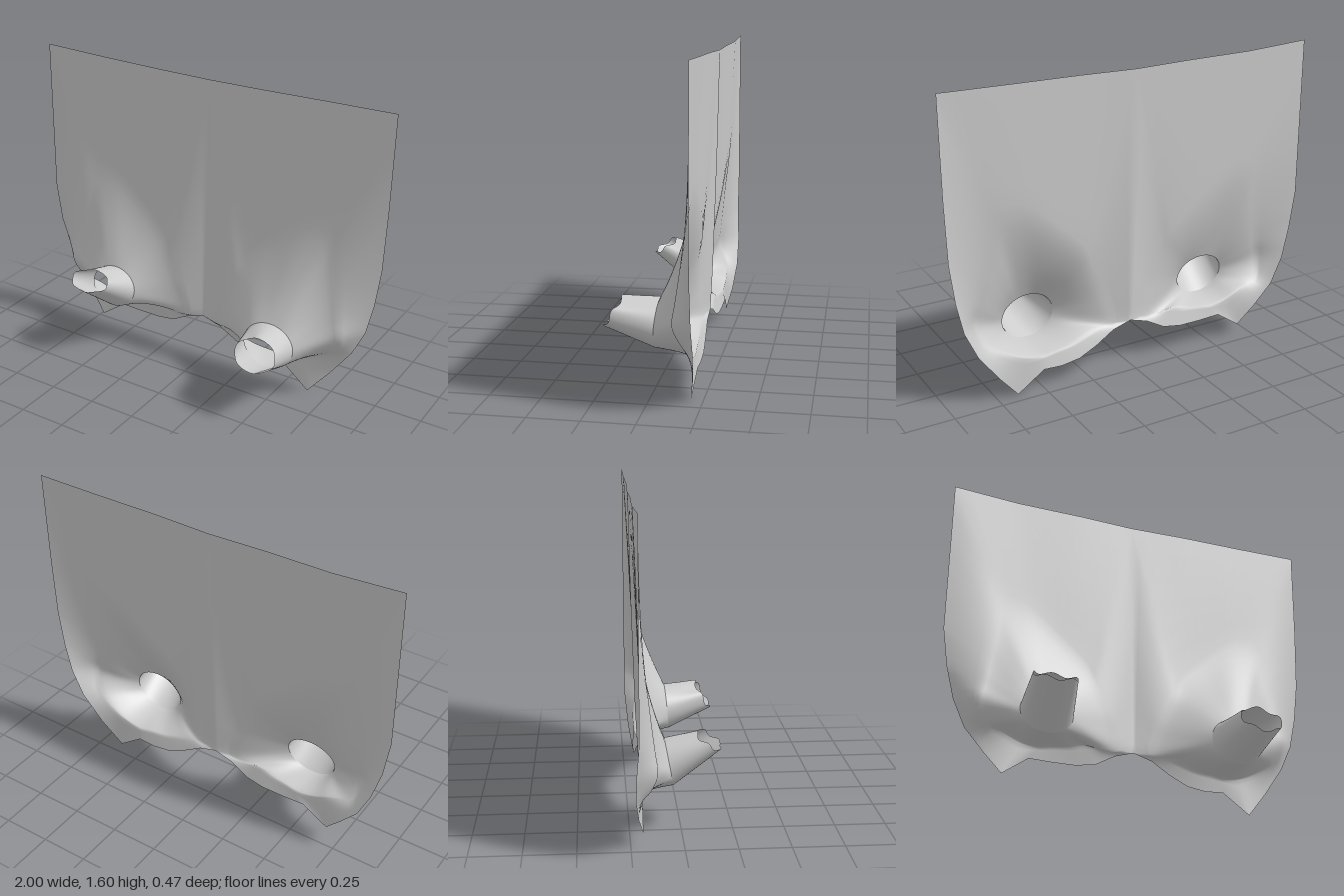
import * as THREE from 'three';
import { mergeGeometries, mergeVertices } from 'three/addons/utils/BufferGeometryUtils.js';

const SUB = 4; // subdivisions between neighbouring control points around a ring

// Outer edge of one half, counter-clockwise from the bottom of the centre line
const outline = [
  [0, 0.25, -0.19], [0.1, 0.22, -0.19], [0.2, 0.16, -0.195], [0.3, 0.115, -0.2], [0.4, 0.1, -0.2],
  [0.5, 0.105, -0.2], [0.64, 0, -0.19], [0.75, 0.13, -0.215], [0.86, 0.28, -0.23], [0.925, 0.42, -0.23],
  [0.96, 0.58, -0.23], [0.985, 0.78, -0.23], [0.995, 1.1, -0.23], [1, 1.59, -0.23], [0.65, 1.585, -0.23],
  [0.3, 1.58, -0.225], [0, 1.575, -0.23], [0, 1.1, -0.22], [0, 0.75, -0.21], [0, 0.45, -0.2],
];
// Line where the flat cloth starts to swell towards the sleeve
const fold = [
  [0.08, 0.25, -0.17], [0.16, 0.235, -0.17], [0.25, 0.21, -0.175], [0.33, 0.19, -0.18], [0.42, 0.18, -0.185],
  [0.5, 0.17, -0.19], [0.58, 0.18, -0.19], [0.68, 0.22, -0.19], [0.8, 0.3, -0.17], [0.83, 0.4, -0.13],
  [0.81, 0.5, -0.14], [0.79, 0.62, -0.155], [0.76, 0.8, -0.175], [0.72, 1.0, -0.2], [0.6, 1.0, -0.205],
  [0.4, 0.85, -0.2], [0.25, 0.7, -0.185], [0.2, 0.58, -0.165], [0.14, 0.45, -0.16], [0.1, 0.35, -0.165],
];

// The two halves differ in their lower edge and in the tilt of the sleeve
const sides = [
  {
    name: 'left', mirror: 1, edge: {}, foldLift: 0,
    base: { x: 0.495, y: 0.32, z: -0.01, rx: 0.14, ry: 0.12, tilt: 0.01 },
    mouth: { x: 0.53, y: 0.375, z: 0.195, rx: 0.112, ry: 0.073, tilt: 0.043 },
  },
  {
    name: 'right', mirror: -1, foldLift: 0.04,
    edge: {
      2: [0.2, 0.165, -0.195], 3: [0.3, 0.15, -0.2], 4: [0.42, 0.15, -0.2], 5: [0.54, 0.155, -0.2],
      6: [0.675, 0.06, -0.19], 7: [0.76, 0.16, -0.215], 10: [0.97, 0.58, -0.22], 11: [1, 0.78, -0.22],
      12: [1, 1.1, -0.22], 13: [1, 1.6, -0.22],
    },
    base: { x: 0.5, y: 0.35, z: -0.06, rx: 0.135, ry: 0.11, tilt: 0.02 },
    mouth: { x: 0.52, y: 0.46, z: 0.13, rx: 0.112, ry: 0.035, tilt: 0.06 },
  },
];

const vec = (p) => new THREE.Vector3(...p);

// Straight-segment ring keeps the corners of the cloth
function polyRing(points) {
  return points.flatMap((p, i) => {
    const next = vec(points[(i + 1) % points.length]);
    return Array.from({ length: SUB }, (_, s) => vec(p).lerp(next, s / SUB));
  });
}

// Smooth closed ring with the same number of points
function smoothRing(points) {
  const curve = new THREE.CatmullRomCurve3(points.map(vec), true);
  const n = points.length * SUB;
  return Array.from({ length: n }, (_, i) => curve.getPoint(i / n));
}

// Tilted ellipse, optionally with an uneven lip
function ellipseRing({ x, y, z, rx, ry, tilt }, ragged = 0) {
  const n = outline.length * SUB;
  return Array.from({ length: n }, (_, i) => {
    const a = THREE.MathUtils.degToRad(195) + (i / n) * Math.PI * 2;
    const lip = ragged * Math.sin(a * 5);
    return new THREE.Vector3(x + rx * Math.cos(a), y + ry * Math.sin(a) + lip, z - tilt * Math.sin(a) + lip);
  });
}

// Rings between a and b; zPower above 1 makes a concave flare
function blend(a, b, steps, zPower = 1) {
  return Array.from({ length: steps }, (_, s) => {
    const t = (s + 1) / steps;
    return a.map((p, i) => {
      const q = p.clone().lerp(b[i], t);
      q.z = THREE.MathUtils.lerp(p.z, b[i].z, t ** zPower);
      return q;
    });
  });
}

// Surface through a list of closed rings
function loft(rings, mirror) {
  const n = rings[0].length;
  const pos = [];
  const index = [];
  for (const ring of rings) for (const p of ring) pos.push(p.x * mirror, p.y, p.z);
  for (let r = 0; r < rings.length - 1; r++) {
    for (let i = 0; i < n; i++) {
      const a = r * n + i, b = r * n + ((i + 1) % n), c = b + n, d = a + n;
      if (mirror > 0) index.push(a, b, c, a, c, d);
      else index.push(a, c, b, a, d, c);
    }
  }
  const geo = new THREE.BufferGeometry();
  geo.setAttribute('position', new THREE.Float32BufferAttribute(pos, 3));
  geo.setIndex(index);
  return geo;
}

export function createModel() {
  const group = new THREE.Group();
  const material = new THREE.MeshStandardMaterial({ color: 0xcccccc, roughness: 0.9, side: THREE.DoubleSide });
  const addPart = (name, geo) => {
    geo.computeVertexNormals();
    const mesh = new THREE.Mesh(geo, material);
    mesh.name = name;
    group.add(mesh);
  };

  const halves = [];
  for (const side of sides) {
    const edge = polyRing(outline.map((p, i) => side.edge[i] ?? p));
    const swell = smoothRing(fold.map(([x, y, z], i) => [x, i > 1 && i < 8 ? y + side.foldLift : y, z]));
    const base = ellipseRing(side.base);

    // Flat cloth flaring into the root of the sleeve
    halves.push(loft([edge, ...blend(edge, swell, 6), ...blend(swell, base, 8, 1.6)], side.mirror));

    // Open sleeve with a worn lip
    const mouth = ellipseRing(side.mouth, 0.006);
    addPart(side.name + 'Sleeve', loft([base, ...blend(base, mouth, 5)], side.mirror));
  }

  // Both halves welded along the centre line
  addPart('clothPanel', mergeVertices(mergeGeometries(halves), 1e-4));
  return group;
}
